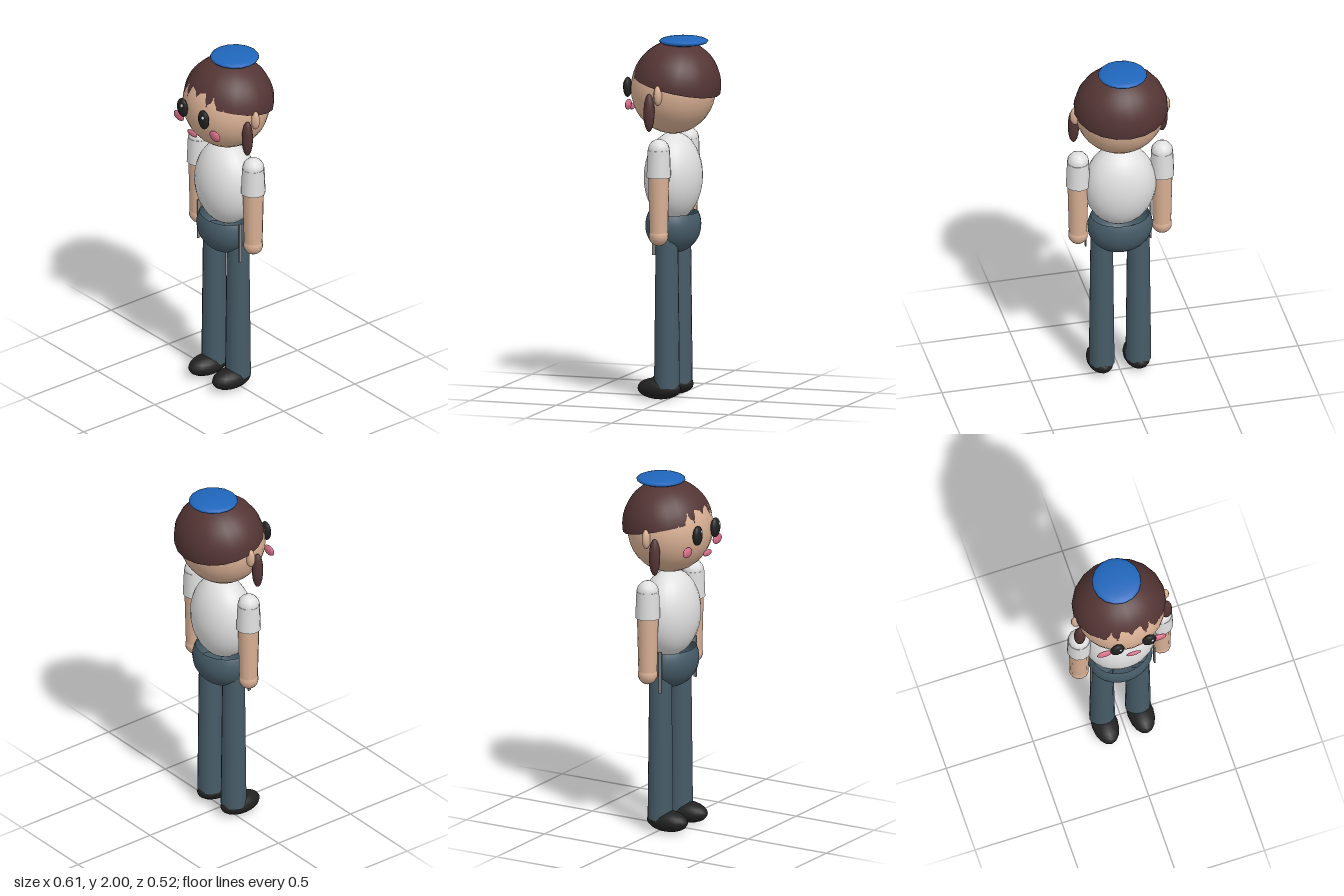
import * as THREE from 'three';

const mat = (name, color, side = THREE.FrontSide) => {
  const m = new THREE.MeshStandardMaterial({ color, side });
  m.name = name;
  return m;
};

export function createModel() {
  const skin = mat('skin', 0xd9b094);
  const hair = mat('hair brown', 0x543535, THREE.DoubleSide);
  const white = mat('shirt white', 0xe0e0e0);
  const denim = mat('trouser slate', 0x465b67, THREE.DoubleSide);
  const blue = mat('cap blue', 0x2066bb);
  const pink = mat('blush pink', 0xd9708a);
  const black = mat('black', 0x212121);
  const grey = mat('strap grey', 0x858585);

  const model = new THREE.Group();
  model.name = 'figure';

  const add = (name, geometry, material, x, y, z) => {
    const mesh = new THREE.Mesh(geometry, material);
    mesh.name = name;
    mesh.position.set(x, y, z);
    model.add(mesh);
    return mesh;
  };
  // Ellipsoid, optionally cut between two polar angles
  const ball = (name, material, [x, y, z], [rx, ry, rz], segs = 16, start = 0, end = Math.PI) => {
    const geometry = new THREE.SphereGeometry(1, segs, Math.ceil(segs * 0.75), 0, Math.PI * 2, start, end - start);
    geometry.scale(rx, ry, rz);
    return add(name, geometry, material, x, y, z);
  };
  // Upright tapered cylinder between two heights
  const limb = (name, material, x, y0, y1, r0, r1, segs) =>
    add(name, new THREE.CylinderGeometry(r1, r0, y1 - y0, segs), material, x, (y0 + y1) / 2, 0);

  // Head, hair and cap
  ball('head', skin, [0, 1.71, 0], [0.249, 0.249, 0.232], 24);
  const hairCap = ball('hairCap', hair, [0, 1.73, -0.018], [0.26, 0.245, 0.243], 20, 0, Math.PI / 2);
  hairCap.rotation.x = -0.23;
  ball('cap', blue, [0, 1.973, -0.06], [0.135, 0.027, 0.135], 16);
  ball('mouth', pink, [0, 1.597, 0.238], [0.043, 0.018, 0.01], 12);

  // Torso and hips
  ball('torso', white, [0, 1.222, 0], [0.2, 0.245, 0.157], 24);
  ball('hips', denim, [0, 0.955, 0], [0.181, 0.155, 0.15], 24, 1.1);

  // Paired parts
  for (const [side, s] of [['left', 1], ['right', -1]]) {
    ball(side + 'Ear', skin, [s * 0.252, 1.703, 0], [0.03, 0.055, 0.023], 10);
    ball(side + 'HairLock', hair, [s * 0.249, 1.605, 0.052], [0.032, 0.105, 0.031], 12);
    ball(side + 'Eye', black, [s * 0.092, 1.717, 0.232], [0.041, 0.056, 0.022], 12);
    ball(side + 'EyeGlint', white, [s * 0.092 + 0.013, 1.738, 0.247], [0.01, 0.01, 0.009], 8);
    ball(side + 'Cheek', pink, [s * 0.156, 1.632, 0.205], [0.044, 0.029, 0.013], 12);

    const armX = s * 0.236;
    ball(side + 'Shoulder', white, [armX, 1.4, 0], [0.061, 0.061, 0.061], 12);
    limb(side + 'Sleeve', white, armX, 1.25, 1.4, 0.068, 0.062, 12);
    limb(side + 'Forearm', skin, armX, 0.94, 1.26, 0.051, 0.059, 12);
    ball(side + 'Hand', skin, [armX, 0.927, 0], [0.055, 0.056, 0.055], 12);
    add(side + 'Strap', new THREE.BoxGeometry(0.008, 0.235, 0.018), grey, s * 0.182, 0.928, 0.047);

    const legX = s * 0.103;
    limb(side + 'Leg', denim, legX, 0.07, 0.9, 0.071, 0.062, 16);
    ball(side + 'Shoe', black, [legX, 0.062, 0.045], [0.073, 0.06, 0.125], 16);
  }
  return model;
}
